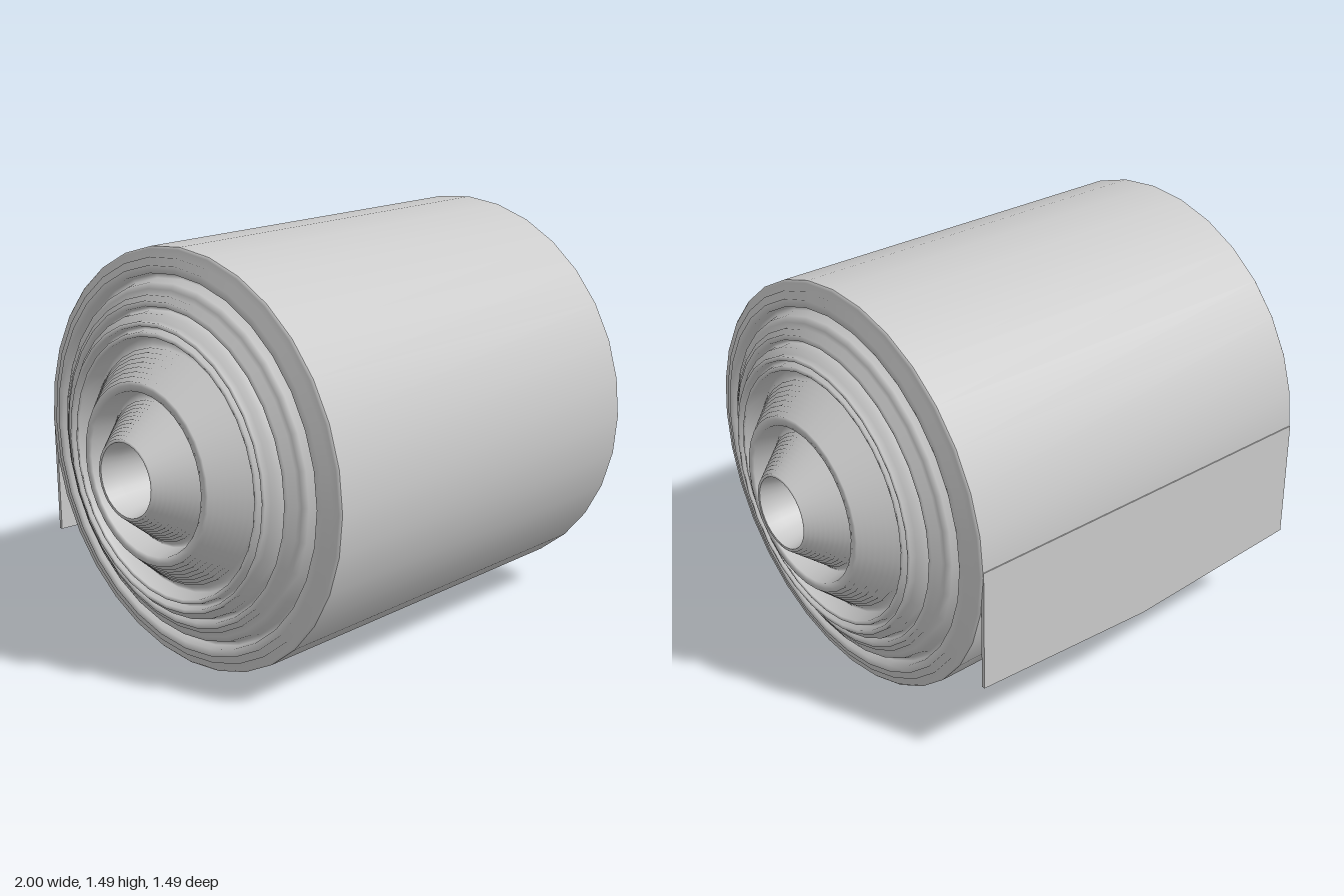
import * as THREE from 'three';

const R = 0.743, HALF = 0.74, SIDES = 32;

// Staircase of wound layers between two [radius, height] points, going inward
function steps([r0, h0], [r1, h1], n) {
  const pts = [];
  for (let i = 0; i < n; i++) {
    const h = h0 + ((h1 - h0) * (i + 1)) / n;
    pts.push([r0 + ((r1 - r0) * i) / n, h], [r0 + ((r1 - r0) * (i + 1)) / n, h]);
  }
  return pts;
}

function lathe(points) {
  return new THREE.LatheGeometry(points.map(([r, h]) => new THREE.Vector2(r, h)), SIDES);
}

export function createModel() {
  const group = new THREE.Group();
  const material = new THREE.MeshStandardMaterial({ color: 0xcccccc, side: THREE.DoubleSide });
  const add = (name, geometry) => {
    const mesh = new THREE.Mesh(geometry, material);
    mesh.name = name;
    group.add(mesh);
    return mesh;
  };

  // Outer wrap of the roll
  const wrap = add('outerWrap', lathe([[R, -HALF], [R, HALF]]));
  wrap.rotation.z = -Math.PI / 2;
  wrap.position.y = R;

  // Telescoped layers on each end: nested stepped cones with grooves between them
  const endProfile = [
    [R, HALF],
    ...steps([0.735, 0.74], [0.655, 0.765], 3),
    [0.65, 0.735], [0.635, 0.735], [0.625, 0.77],
    ...steps([0.605, 0.77], [0.55, 0.805], 3),
    [0.545, 0.785], [0.535, 0.785], [0.53, 0.82],
    [0.505, 0.82], [0.505, 0.845], [0.49, 0.845],
    [0.485, 0.82], [0.475, 0.82], [0.47, 0.845], [0.455, 0.845],
    [0.445, 0.785],
    ...steps([0.425, 0.785], [0.305, 0.92], 9),
    [0.285, 0.92], [0.27, 0.845],
    ...steps([0.255, 0.845], [0.13, 1], 12),
  ];
  // Flared centre hole, narrowest in the middle of the roll
  const holeProfile = [[0.13, 1], [0.115, 0.94], [0.075, 0]];
  const endGeometry = lathe(endProfile), holeGeometry = lathe(holeProfile);
  for (const [side, s] of [['left', 1], ['right', -1]]) {
    for (const [part, geometry] of [['Layers', endGeometry], ['Core', holeGeometry]]) {
      const mesh = add(side + part, geometry);
      mesh.rotation.z = (-s * Math.PI) / 2;
      mesh.position.y = R;
    }
  }

  // Loose end of the sheet hanging down the back, lowest at its middle
  const outline = new THREE.Shape([
    [-HALF, 0.76], [-HALF, 0.31], [0, 0.27], [HALF, 0.31], [HALF, 0.76],
  ].map(([x, y]) => new THREE.Vector2(x, y)));
  const flap = add('looseSheet', new THREE.ExtrudeGeometry(outline, { depth: 0.013, bevelEnabled: false }));
  flap.position.z = -0.745;

  return group;
}
